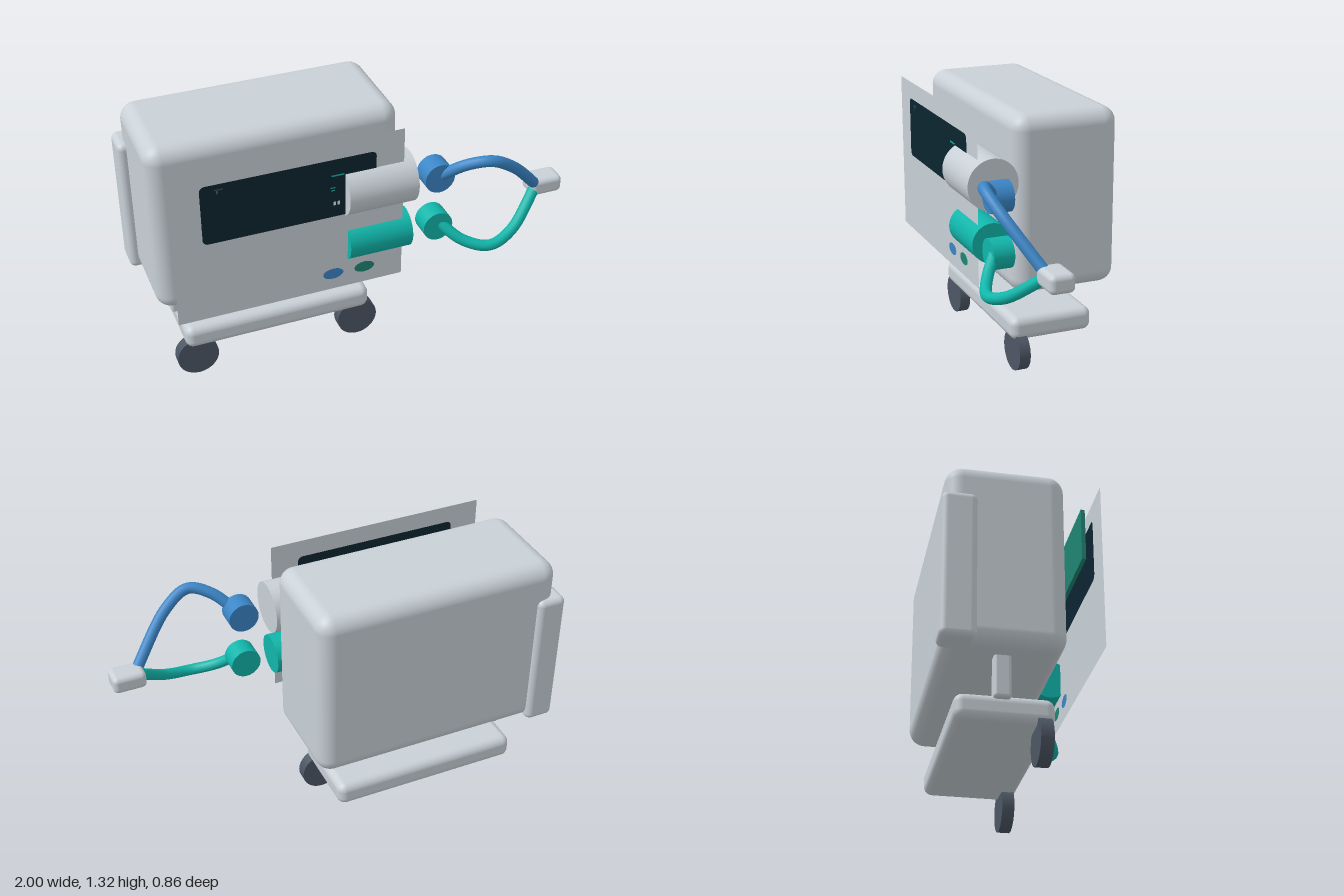
import * as THREE from 'three';
import { RoundedBoxGeometry } from 'three/addons/geometries/RoundedBoxGeometry.js';

const mat = (name, color, side = THREE.FrontSide) => {
  const m = new THREE.MeshStandardMaterial({ color, side });
  m.name = name;
  return m;
};

export function createModel() {
  const group = new THREE.Group();
  const shell = mat('shellGrey', 0xc8d0d6, THREE.DoubleSide);
  const dark = mat('screenNavy', 0x0c2530);
  const blue = mat('tubeBlue', 0x3a85c6);
  const teal = mat('tubeTeal', 0x10b5aa);
  const green = mat('bezelGreen', 0x1f8573);
  const rubber = mat('wheelSlate', 0x4c5664);
  const white = mat('readoutWhite', 0xdde8ea);

  const add = (name, geometry, material, x, y, z) => {
    const mesh = new THREE.Mesh(geometry, material);
    mesh.name = name;
    mesh.position.set(x, y, z);
    group.add(mesh);
    return mesh;
  };
  // Rounded box from its limits on each axis
  const block = (name, [x0, x1], [y0, y1], [z0, z1], radius) =>
    add(name, new RoundedBoxGeometry(x1 - x0, y1 - y0, z1 - z0, 5, radius), shell,
      (x0 + x1) / 2, (y0 + y1) / 2, (z0 + z1) / 2);

  // Cabinet, rear tank, post and trolley base
  block('cabinet', [-0.96, 0.22], [0.45, 1.315], [-0.413, 0.112], 0.075);
  block('rearTank', [-1, -0.86], [0.45, 1.14], [-0.437, -0.28], 0.03);
  block('post', [-0.86, -0.79], [0.26, 0.5], [-0.187, -0.112], 0.015);
  block('trolleyBase', [-0.84, 0.095], [0.165, 0.283], [-0.348, 0.077], 0.04);

  // Two wheels
  for (const x of [-0.785, 0.038]) {
    add('wheel', new THREE.CylinderGeometry(0.102, 0.102, 0.056, 32), rubber, x, 0.102, 0.028)
      .rotation.x = Math.PI / 2;
  }

  // Flat front panel
  const panelZ = 0.277;
  add('frontPanel', new THREE.PlaneGeometry(1.084, 0.792), shell, -0.372, 0.899, panelZ);

  // Paint a flat shape on both faces of the panel
  const decal = (name, geometry, material, x, y) => {
    add(name, geometry, material, x, y, panelZ + 0.002);
    add(name + 'Back', geometry, material, x, y, panelZ - 0.002).rotation.y = Math.PI;
  };

  // Rounded screen
  const w = 0.406, h = 0.15, r = 0.025;
  const outline = new THREE.Shape();
  outline.absarc(w - r, h - r, r, 0, Math.PI / 2);
  outline.absarc(r - w, h - r, r, Math.PI / 2, Math.PI);
  outline.absarc(r - w, r - h, r, Math.PI, Math.PI * 1.5);
  outline.absarc(w - r, r - h, r, Math.PI * 1.5, Math.PI * 2);
  decal('screen', new THREE.ShapeGeometry(outline, 6), dark, -0.37, 1.06);

  // Small readout marks on the screen
  for (const [x, y, mw, mh, m] of [
    [-0.69, 1.183, 0.04, 0.005, rubber], [-0.698, 1.17, 0.008, 0.016, rubber],
    [-0.148, 1.128, 0.06, 0.008, teal], [-0.172, 1.066, 0.025, 0.006, teal],
    [-0.172, 1.052, 0.02, 0.006, teal], [-0.165, 0.982, 0.012, 0.02, white],
    [-0.146, 0.982, 0.012, 0.02, white],
  ]) add('readoutMark', new THREE.PlaneGeometry(mw, mh), m, x, y, panelZ + 0.004);

  // Oval buttons
  const oval = new THREE.CircleGeometry(1, 16).scale(0.05, 0.029, 1);
  decal('blueButton', oval, blue, -0.172, 0.59);
  decal('greenButton', oval, green, -0.018, 0.59);

  // Inner display behind the panel
  add('innerBezel', new THREE.BoxGeometry(0.494, 0.25, 0.018), green, -0.62, 1.072, 0.207);
  add('innerDisplay', new THREE.BoxGeometry(0.34, 0.15, 0.006), dark, -0.618, 1.07, 0.229);

  // Horizontal canisters passing through the panel
  const canister = (name, material, radius, x0, x1, y, z) =>
    add(name, new THREE.CylinderGeometry(radius, radius, x1 - x0, 40), material, (x0 + x1) / 2, y, z)
      .rotation.z = Math.PI / 2;
  canister('greyCanister', shell, 0.124, -0.113, 0.22, 1.013, 0.221);
  canister('tealCanister', teal, 0.096, -0.1, 0.208, 0.734, 0.225);

  // Hose ports and hoses
  const hose = (name, material, portY, points) => {
    add(name + 'Port', new THREE.CylinderGeometry(0.073, 0.073, 0.1, 32), material, 0.345, portY, 0.247)
      .rotation.x = Math.PI / 2;
    const path = new THREE.CatmullRomCurve3(points.map((p) => new THREE.Vector3(...p)));
    add(name, new THREE.TubeGeometry(path, 48, 0.027, 14), material, 0, 0, 0);
  };
  hose('blueHose', blue, 1.0, [
    [0.355, 1.0, 0.27], [0.45, 1.08, 0.345], [0.55, 1.105, 0.392], [0.67, 1.035, 0.37], [0.88, 0.81, 0.245],
  ]);
  hose('tealHose', teal, 0.735, [
    [0.355, 0.745, 0.27], [0.45, 0.665, 0.345], [0.57, 0.633, 0.392], [0.7, 0.668, 0.36], [0.88, 0.81, 0.245],
  ]);

  // Connector joining the hoses
  block('hoseConnector', [0.84, 1], [0.767, 0.853], [0.17, 0.286], 0.025);

  return group;
}
